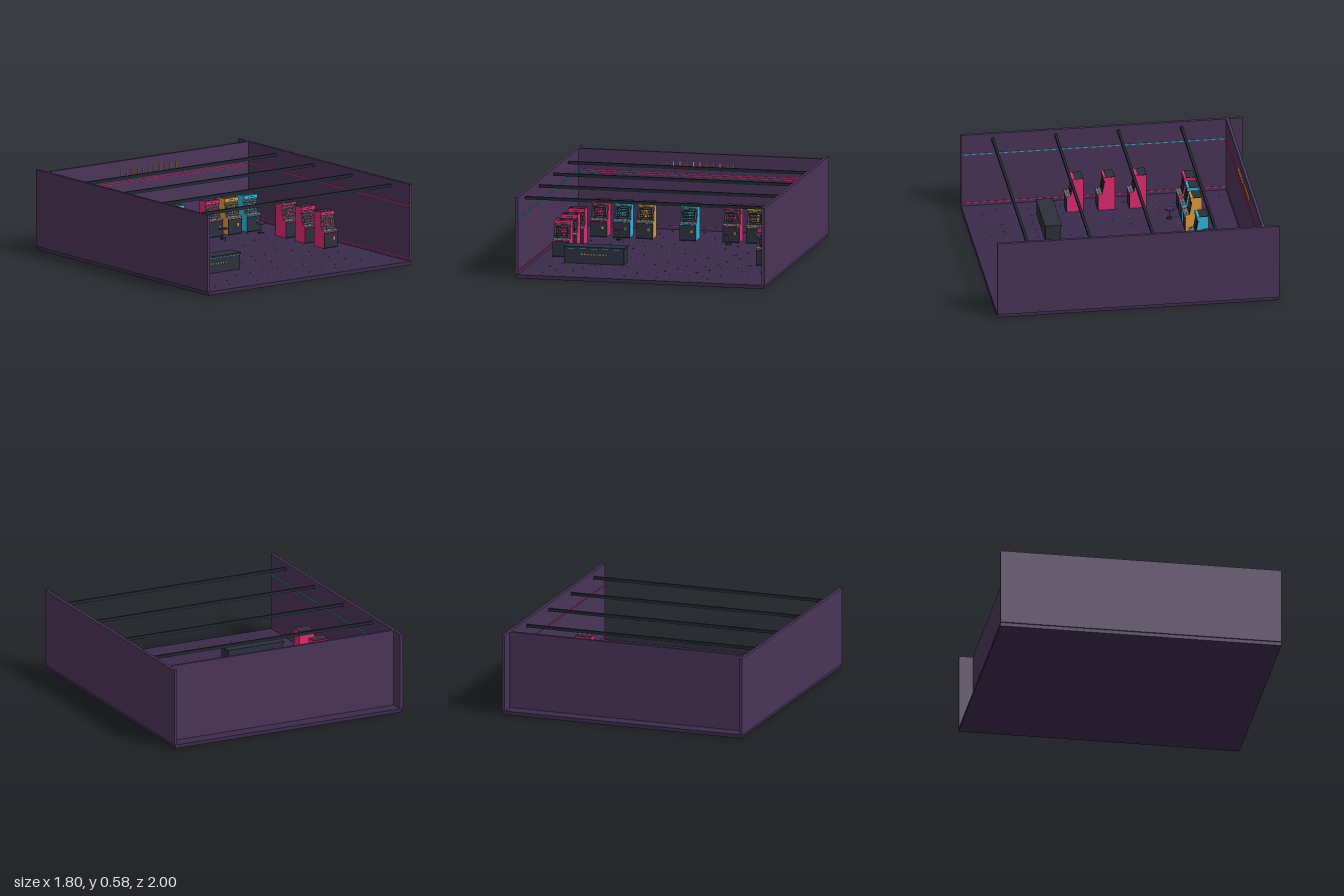
import * as THREE from 'three';
import { mergeGeometries } from 'three/addons/utils/BufferGeometryUtils.js';

const FLOOR = 0.026;
const C = {
  wall: 0x4a3459, floor: 0x3c2b4c, dark: 0x2b303c, beam: 0x222731, black: 0x15181f,
  pink: 0xe02a70, cyan: 0x2fb8dc, amber: 0xe09a3a, grey: 0x66717a, stool: 0x4a3459, speck: 0x5a4a6c,
};
const materials = {};
const mat = (c) => (materials[c] ??= new THREE.MeshStandardMaterial({ color: c }));

function mesh(parent, name, geo, color, x = 0, y = 0, z = 0) {
  const m = new THREE.Mesh(geo, mat(color));
  m.name = name;
  m.position.set(x, y, z);
  parent.add(m);
  return m;
}
const box = (parent, name, color, w, h, d, x, y, z) =>
  mesh(parent, name, new THREE.BoxGeometry(w, h, d), color, x, y, z);

// Cabinet side profile as (depth, height), extruded across the width
const profile = [
  [-0.063, 0], [0.055, 0], [0.055, 0.108], [0.063, 0.112], [0.063, 0.118],
  [0.026, 0.126], [0.008, 0.222], [0.017, 0.226], [0.017, 0.253], [-0.063, 0.25],
].map(([z, y]) => new THREE.Vector2(z, y));
const bodyGeo = new THREE.ExtrudeGeometry(new THREE.Shape(profile), { depth: 0.12, bevelEnabled: false });
bodyGeo.translate(0, 0, -0.06).rotateY(-Math.PI / 2);

// Screen picture: mirrored rows of small lit blocks, varied by seed
function pixelGeometry(seed) {
  const parts = [];
  for (let r = 0; r < 5; r++) {
    for (let c = 0; c < 6; c++) {
      if ((c * 3 + r * 5 + c * r + seed) % 4 === 0) continue;
      for (const s of [-1, 1]) {
        parts.push(new THREE.BoxGeometry(0.0045, 0.005, 0.001)
          .translate(s * (0.003 + c * 0.006), (r - 2) * 0.0105, 0));
      }
    }
  }
  return mergeGeometries(parts);
}

function cabinet(parent, color, x, z, seed) {
  const g = new THREE.Group();
  g.name = 'arcadeCabinet';
  g.position.set(x, FLOOR, z);
  parent.add(g);
  mesh(g, 'cabinetBody', bodyGeo, color);
  box(g, 'cabinetTop', C.dark, 0.116, 0.003, 0.064, 0, 0.2525, -0.03);
  box(g, 'lowerFront', C.dark, 0.119, 0.108, 0.002, 0, 0.054, 0.056);
  box(g, 'marquee', color, 0.12, 0.026, 0.003, 0, 0.24, 0.018);
  box(g, 'marqueeStripe', C.black, 0.05, 0.003, 0.001, 0, 0.24, 0.02);
  // Tilted screen
  const s = new THREE.Group();
  s.name = 'screen';
  s.position.set(0, 0.173, 0.0185);
  s.rotation.x = -0.185;
  g.add(s);
  box(s, 'screenBezel', C.dark, 0.114, 0.095, 0.003, 0, 0, 0);
  box(s, 'screenRim', C.grey, 0.094, 0.076, 0.002, 0, 0, 0.001);
  box(s, 'screenGlass', C.black, 0.09, 0.072, 0.002, 0, 0, 0.002);
  mesh(s, 'screenPixels', pixelGeometry(seed), color, 0, 0, 0.0035);
  // Sloped control panel with stick and buttons
  const p = new THREE.Group();
  p.name = 'controlPanel';
  p.position.set(0, 0.1225, 0.0455);
  p.rotation.x = 0.213;
  g.add(p);
  box(p, 'panelTop', C.grey, 0.118, 0.003, 0.036, 0, 0, 0);
  mesh(p, 'joystickShaft', new THREE.CylinderGeometry(0.0012, 0.0012, 0.012, 8), C.black, -0.03, 0.007, 0);
  mesh(p, 'joystickKnob', new THREE.SphereGeometry(0.0035, 10, 8), color, -0.03, 0.014, 0);
  for (let i = 0; i < 3; i++) {
    mesh(p, 'button', new THREE.CylinderGeometry(0.0035, 0.0035, 0.003, 10),
      i % 2 ? C.amber : C.pink, 0.008 + i * 0.015, 0.0025, i % 2 ? -0.004 : 0.002);
  }
  // Coin door
  box(g, 'coinDoor', C.amber, 0.013, 0.02, 0.002, 0.028, 0.065, 0.0578);
  box(g, 'coinSlot', C.black, 0.002, 0.009, 0.001, 0.028, 0.067, 0.059);
  box(g, 'kickPlate', C.black, 0.12, 0.006, 0.002, 0, 0.003, 0.0575);
}

function stool(parent, x, z) {
  const g = new THREE.Group();
  g.name = 'stool';
  g.position.set(x, FLOOR, z);
  parent.add(g);
  mesh(g, 'seat', new THREE.CylinderGeometry(0.032, 0.032, 0.011, 24), C.stool, 0, 0.073, 0);
  mesh(g, 'stem', new THREE.CylinderGeometry(0.004, 0.004, 0.07, 12), C.grey, 0, 0.035, 0);
  mesh(g, 'foot', new THREE.CylinderGeometry(0.02, 0.022, 0.005, 20), C.beam, 0, 0.0025, 0);
}

export function createModel() {
  const room = new THREE.Group();
  room.name = 'arcadeRoom';

  // Shell: floor, side walls and the recessed back wall
  box(room, 'floor', C.floor, 1.78, FLOOR, 2, 0, FLOOR / 2, 0);
  const wallH = 0.577 - FLOOR;
  for (const s of [-1, 1]) {
    box(room, s > 0 ? 'leftWall' : 'rightWall', C.wall, 0.022, wallH, 2, s * 0.889, FLOOR + wallH / 2, 0);
    box(room, 'wallNeon', s > 0 ? C.pink : C.cyan, 0.006, 0.006, 1.88, s * 0.876, 0.425, 0.06);
    box(room, 'skirtingNeon', C.pink, 0.004, 0.005, 1.88, s * 0.876, 0.05, 0.06);
  }
  box(room, 'backWall', C.wall, 1.758, wallH, 0.022, 0, FLOOR + wallH / 2, -0.89);
  for (const y of [0.414, 0.427]) box(room, 'backNeon', C.pink, 1.74, 0.004, 0.006, 0, y, -0.877);
  box(room, 'backSkirting', 0x7a3a70, 1.74, 0.004, 0.005, 0, 0.05, -0.877);

  // Plain sign made of a row of upright tubes
  for (let i = 0; i < 11; i++) {
    box(room, 'signTube', C.amber, 0.005, 0.046, 0.008, (i - 5) * 0.048, 0.492, -0.875);
  }

  // Ceiling beams with a light strip below
  for (let i = 0; i < 4; i++) {
    const z = -0.562 + i * 0.446;
    box(room, 'ceilingBeam', C.beam, 1.758, 0.02, 0.018, 0, 0.535, z);
    box(room, 'beamLight', C.cyan, 1.33, 0.004, 0.006, 0, 0.523, z);
  }

  // Carpet flecks, alternating slanted and straight
  const flecks = [];
  for (let r = 0; r < 16; r++) {
    for (let c = 0; c < 14; c++) {
      const straight = (r + c) % 3 === 0;
      flecks.push(new THREE.BoxGeometry(straight ? 0.004 : 0.022, 0.001, straight ? 0.014 : 0.004)
        .rotateY(straight ? 0 : 0.6)
        .translate(-0.78 + c * 0.118 + (r % 2) * 0.05, FLOOR + 0.0005, -0.81 + r * 0.112));
    }
  }
  mesh(room, 'carpetFlecks', mergeGeometries(flecks), C.speck);

  // Back row and the two side columns of cabinets
  const row = [
    [-0.645, C.pink], [-0.48, C.cyan], [-0.314, C.amber], [-0.003, C.cyan],
    [0.309, C.pink], [0.475, C.amber], [0.641, C.cyan],
  ];
  row.forEach(([x, color], i) => cabinet(room, color, x, -0.557, i));
  for (const x of [-0.735, 0.73]) {
    [-0.223, 0.001, 0.224].forEach((z, i) => cabinet(room, C.pink, x, z, i + 2));
  }
  for (const x of [-0.48, 0.309, 0.641]) stool(room, x, -0.42);

  // Prize counter
  const counter = new THREE.Group();
  counter.name = 'prizeCounter';
  counter.position.set(-0.447, FLOOR, 0.44);
  room.add(counter);
  box(counter, 'counterBase', C.dark, 0.43, 0.11, 0.11, 0, 0.055, 0);
  box(counter, 'counterTop', C.dark, 0.442, 0.011, 0.12, 0, 0.1145, 0);
  box(counter, 'counterTrim', C.cyan, 0.42, 0.002, 0.002, 0, 0.106, 0.056);
  for (let i = 0; i < 9; i++) {
    box(counter, 'counterStud', C.amber, 0.008, 0.01, 0.002, (i - 4) * 0.022, 0.066, 0.056);
  }
  return room;
}
